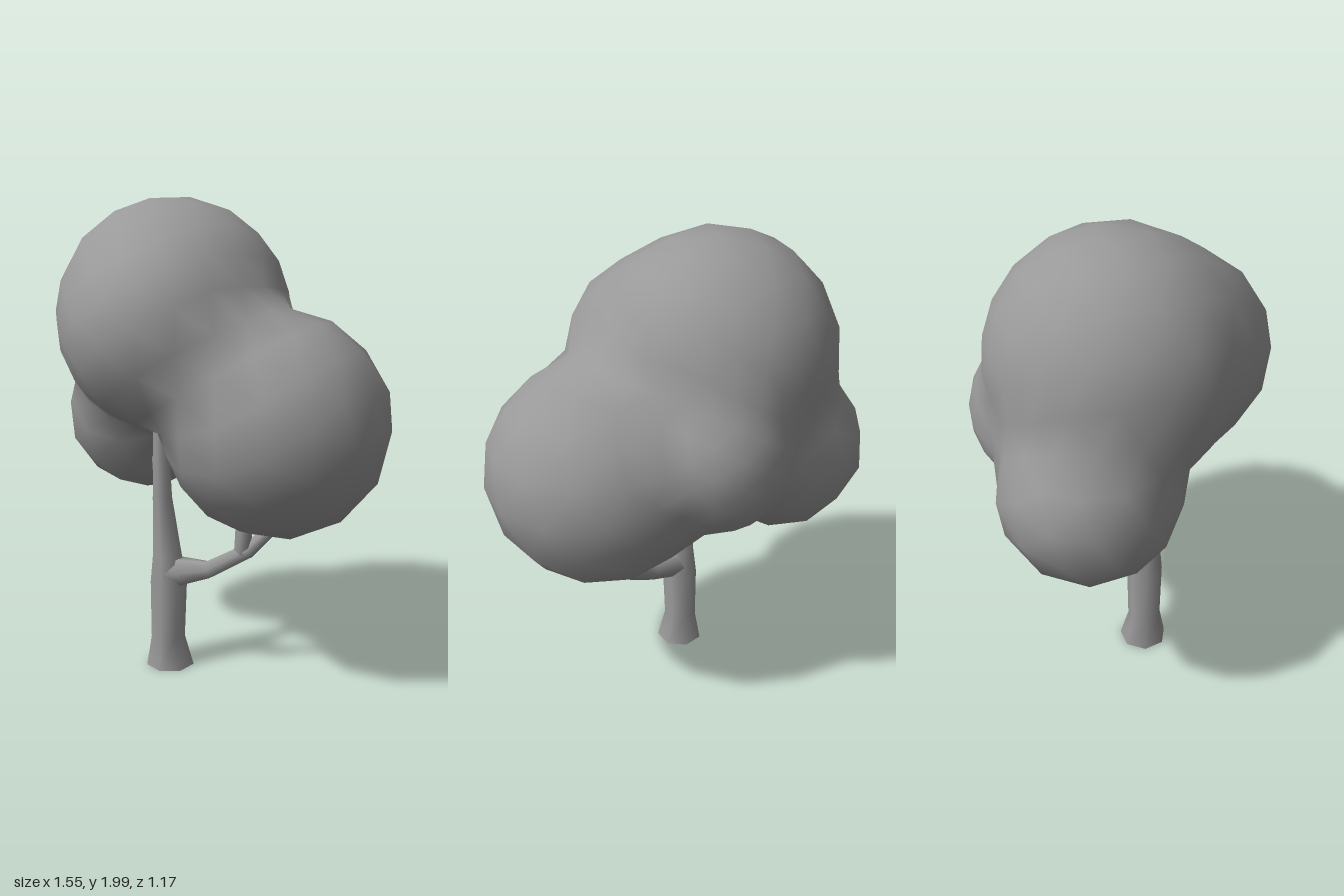
import * as THREE from 'three';
import { mergeVertices } from 'three/addons/utils/BufferGeometryUtils.js';

const material = new THREE.MeshStandardMaterial({ color: 0x999999, side: THREE.DoubleSide });

// Foliage clumps: x, y, z, radius
const clumps = [
  [-0.2, 1.5, -0.06, 0.495],    // crown
  [-0.12, 1.46, 0.2, 0.385],    // crown, front bulge
  [0.325, 1.095, 0.075, 0.455], // left clump
  [-0.42, 1.065, -0.23, 0.355], // right rear clump
  [0.02, 1.2, -0.25, 0.335],    // rear bridge
].map(([x, y, z, r]) => ({ center: new THREE.Vector3(x, y, z), r }));

// Distance to the softly blended clumps
function foliageDistance(p) {
  const k = 0.07;
  return clumps.reduce((d, c) => {
    const e = p.distanceTo(c.center) - c.r;
    const h = Math.max(k - Math.abs(d - e), 0) / k;
    return Math.min(d, e) - h * h * k * 0.25;
  }, 10);
}

// A faceted ball shrunk from outside onto the blended clumps
function foliageGeometry() {
  let geo = new THREE.IcosahedronGeometry(1, 4);
  geo.deleteAttribute('normal');
  geo.deleteAttribute('uv');
  geo = mergeVertices(geo, 1e-4);
  const core = new THREE.Vector3(-0.05, 1.24, -0.11);
  const pos = geo.attributes.position;
  const dir = new THREE.Vector3(), p = new THREE.Vector3();
  for (let i = 0; i < pos.count; i++) {
    dir.fromBufferAttribute(pos, i).normalize();
    let t = 1.3;
    do {
      t -= 0.002;
      p.copy(core).addScaledVector(dir, t);
    } while (t > 0.05 && foliageDistance(p) > 0.006);
    pos.setXYZ(i, p.x, p.y, p.z);
  }
  geo.computeVertexNormals();
  return geo;
}

// A tapering limb through rings of [x, y, z, radius], closed at its tip
function limb(name, rings, sides) {
  const pts = rings.map(([x, y, z]) => new THREE.Vector3(x, y, z));
  const verts = [], index = [];
  const last = pts.length - 1;
  pts.forEach((p, i) => {
    const along = pts[Math.min(i + 1, last)].clone().sub(pts[Math.max(i - 1, 0)]).normalize();
    if (p.y === 0) along.set(0, 1, 0);
    const turn = new THREE.Quaternion().setFromUnitVectors(new THREE.Vector3(0, 1, 0), along);
    for (let s = 0; s < sides; s++) {
      const a = (s / sides) * Math.PI * 2;
      const v = new THREE.Vector3(Math.sin(a), 0, Math.cos(a)).multiplyScalar(rings[i][3]);
      verts.push(...v.applyQuaternion(turn).add(p).toArray());
      if (i < last) {
        const n = (s + 1) % sides, b = i * sides;
        index.push(b + s, b + n, b + sides + n, b + s, b + sides + n, b + sides + s);
      }
    }
  });
  // The tip has its own vertices, so its rim stays sharp
  const tip = verts.length / 3;
  verts.push(...verts.slice(-sides * 3));
  for (let s = 1; s < sides - 1; s++) index.push(tip, tip + s, tip + s + 1);

  const geo = new THREE.BufferGeometry();
  geo.setAttribute('position', new THREE.Float32BufferAttribute(verts, 3));
  geo.setIndex(index);
  geo.computeVertexNormals();
  const mesh = new THREE.Mesh(geo, material);
  mesh.name = name;
  return mesh;
}

export function createModel() {
  const tree = new THREE.Group();
  tree.name = 'tree';

  const foliage = new THREE.Mesh(foliageGeometry(), material);
  foliage.name = 'foliage';
  tree.add(foliage);

  // Trunk with a flared foot, open underneath
  tree.add(limb('trunk', [
    [-0.152, 0, 0.095, 0.104], [-0.16, 0.13, 0.097, 0.074], [-0.155, 0.38, 0.097, 0.08],
    [-0.16, 0.5, 0.1, 0.063], [-0.178, 0.75, 0.105, 0.042], [-0.171, 1.09, 0.13, 0.03],
  ], 7));

  // Forked side branch
  tree.add(limb('sideBranch', [
    [-0.16, 0.415, 0.1, 0.07], [-0.09, 0.43, 0.1, 0.063], [0.03, 0.45, 0.09, 0.04],
    [0.19, 0.54, 0.05, 0.034], [0.36, 0.72, -0.05, 0.022],
  ], 6));
  tree.add(limb('sideBranchFork', [
    [0.17, 0.53, 0.055, 0.036], [0.178, 0.63, 0.06, 0.036], [0.18, 0.8, 0.06, 0.028],
  ], 6));

  // Short branch towards the rear clump
  tree.add(limb('upperBranch', [
    [-0.175, 0.76, 0.1, 0.036], [-0.21, 0.84, 0.055, 0.034], [-0.25, 0.93, 0, 0.03],
  ], 6));

  return tree;
}
